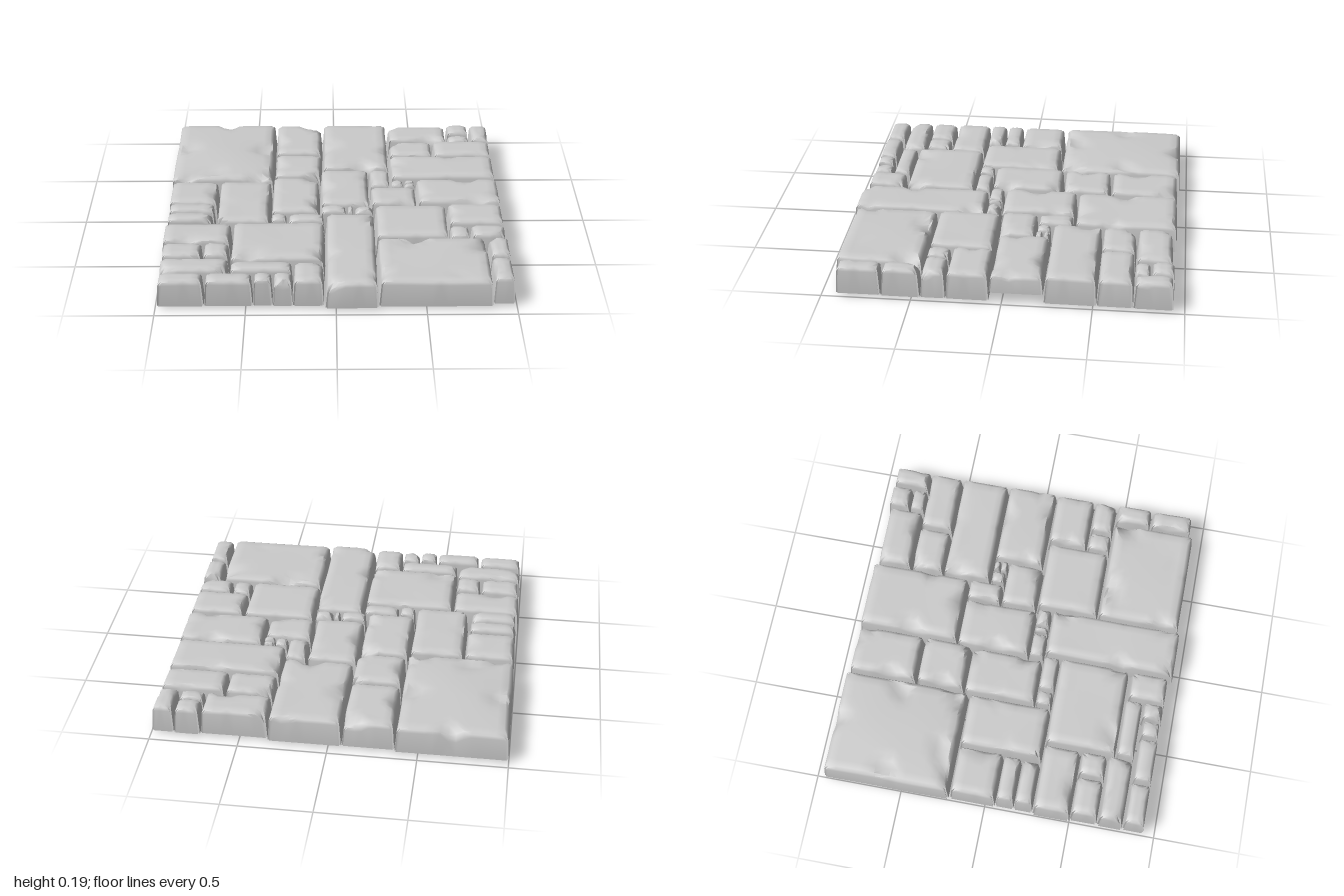
import * as THREE from 'three';
import { toCreasedNormals } from 'three/addons/utils/BufferGeometryUtils.js';

const material = new THREE.MeshStandardMaterial({ color: 0xcccccc, side: THREE.DoubleSide });
const TOP = 0.174, BASE = 0.016;

// smooth wobble in -1..1 used for worn surfaces
const wobble = (x, z, s) =>
  (Math.sin(x * 9.1 + s * 2.3 + 1.7 * Math.sin(z * 7.3 + s)) + Math.sin(z * 11.7 - s * 1.9 + 1.3 * Math.sin(x * 8.7))) / 2;

// grid lines across one side of a stone: foot, wall, bevel, flat top, and back down
function lines(a, b) {
  const r = Math.min(0.024, (b - a) * 0.16);
  const taper = Math.min(0.009, (b - a) * 0.06);
  const edge = [0.001, taper, taper + r * 0.3, taper + r];
  const inner = Math.max(2, Math.round((b - a) / 0.05));
  const from = a + edge[3], to = b - edge[3];
  const mid = [];
  for (let i = 1; i < inner; i++) mid.push(from + (to - from) * i / inner);
  return [...edge.map(e => a + e), ...mid, ...edge.map(e => b - e).reverse()];
}

// one hollow stone, open underneath: a sheet whose outer rings fold down into walls
function stone(x0, x1, z0, z1, seed, { top = TOP, base = BASE, crown = 0 } = {}) {
  const xs = lines(x0, x1), zs = lines(z0, z1), nx = xs.length, nz = zs.length;
  const size = Math.min(x1 - x0, z1 - z0);
  const pos = [], index = [];
  const level = top + 0.003 * Math.sin(seed * 4.7);
  for (let j = 0; j < nz; j++) for (let i = 0; i < nx; i++) {
    const ring = Math.min(i, j, nx - 1 - i, nz - 1 - j);
    let x = xs[i], z = zs[j];
    const u = (x - x0) / (x1 - x0), v = (z - z0) / (z1 - z0);
    const n = wobble(x, z, seed);
    let y = level + 0.002 * n + crown * Math.sin(Math.PI * u) * Math.sin(Math.PI * v);
    // chipped places along the rim
    const rim = Math.min(x - x0, x1 - x, z - z0, z1 - z);
    const chip = Math.max(0, wobble(x * 1.6, z * 1.6, seed * 3.1) - 0.45) * Math.max(0, 1 - rim / (size * 0.25));
    y -= Math.min(0.045, chip * 0.09);
    if (ring === 0) y = base;
    else if (ring === 1) y -= 0.026;
    else if (ring === 2) y -= 0.009;
    // worn outline and rounded upright corners
    if (ring < 4) {
      const wear = (ring ? 0.005 : 0.002) * (0.5 + 0.5 * n);
      const round = Math.min(0.012, size * 0.08);
      const corner = Math.min(i, nx - 1 - i) === ring && Math.min(j, nz - 1 - j) === ring ? round : 0;
      x += (u < 0.5 ? 1 : -1) * (wear * Math.abs(2 * u - 1) + corner);
      z += (v < 0.5 ? 1 : -1) * (wear * Math.abs(2 * v - 1) + corner);
    }
    pos.push(x, y, z);
  }
  for (let j = 0; j < nz - 1; j++) for (let i = 0; i < nx - 1; i++) {
    const a = j * nx + i, b = a + 1, c = a + nx, d = c + 1;
    // diagonals run out to the four corners
    if ((i < nx / 2) === (j < nz / 2)) index.push(a, c, d, a, d, b);
    else index.push(a, c, b, b, c, d);
  }
  const g = new THREE.BufferGeometry();
  g.setAttribute('position', new THREE.Float32BufferAttribute(pos, 3));
  g.setIndex(index);
  return new THREE.Mesh(toCreasedNormals(g, 0.75), material);
}

// stones as [x0, x1, z0, z1, options]
const backLeft = [
  [-1, -0.37, -0.96, -0.215, { crown: 0.015 }],
  [-0.37, -0.075, -0.945, -0.54],
  [-0.37, -0.075, -0.54, -0.25],
  [-0.075, 0.34, -0.95, -0.35],
];
const backRight = [
  [0.34, 0.72, -0.93, -0.72],
  [0.72, 0.87, -0.945, -0.81],
  [0.72, 0.87, -0.81, -0.72, { top: 0.16 }],
  [0.87, 0.995, -0.94, -0.72],
  [0.34, 0.62, -0.72, -0.52],
  [0.62, 0.99, -0.72, -0.52],
  [0.34, 0.99, -0.52, -0.23],
];
const middle = [
  [-0.09, 0.21, -0.35, 0.09],
  [0.21, 0.34, -0.35, -0.14],
  [0.34, 0.42, -0.225, -0.14, { top: 0.165 }],
  [0.42, 0.49, -0.225, -0.18, { top: 0.16 }],
  [0.42, 0.49, -0.18, -0.14, { top: 0.165 }],
  [0.21, 0.49, -0.14, 0.08],
  [0.49, 0.995, -0.23, 0.07, { base: 0.07 }],
  [-0.38, -0.09, -0.25, 0.18],
  [-0.70, -0.38, -0.21, 0.28],
  [-0.995, -0.70, -0.21, 0.06],
  [-0.99, -0.71, 0.06, 0.17],
  [-0.99, -0.71, 0.17, 0.28],
  [-0.38, -0.28, 0.18, 0.28],
  [-0.28, -0.06, 0.18, 0.28],
  [-0.09, 0.07, 0.09, 0.18],
  [0.07, 0.11, 0.09, 0.18, { top: 0.165 }],
  [0.11, 0.23, 0.09, 0.18],
];
const frontLeft = [
  [-1, -0.6, 0.28, 0.5],
  [-0.99, -0.755, 0.5, 0.66],
  [-0.755, -0.6, 0.5, 0.66, { base: 0 }],
  [-0.995, -0.6, 0.66, 0.81],
  [-0.99, -0.73, 0.81, 0.935],
  [-0.73, -0.46, 0.82, 0.935],
  [-0.46, -0.35, 0.82, 0.93],
  [-0.35, -0.24, 0.81, 0.935],
  [-0.6, -0.24, 0.70, 0.81],
  [-0.24, -0.065, 0.71, 0.935],
  [-0.6, -0.06, 0.28, 0.70],
];
const frontRight = [
  [-0.06, 0.235, 0.18, 0.96],
  [0.23, 0.66, 0.08, 0.45],
  [0.66, 0.99, 0.07, 0.31],
  [0.66, 0.78, 0.31, 0.45, { top: 0.165 }],
  [0.78, 0.99, 0.31, 0.45],
  [0.235, 0.87, 0.45, 0.945],
  [0.87, 0.995, 0.45, 0.67],
  [0.87, 0.99, 0.67, 0.92],
];

export function createModel() {
  const model = new THREE.Group();
  model.name = 'stonePaving';
  let seed = 1;
  for (const [name, list] of Object.entries({ backLeft, backRight, middle, frontLeft, frontRight })) {
    const section = new THREE.Group();
    section.name = name + 'Stones';
    list.forEach(([x0, x1, z0, z1, options], i) => {
      const mesh = stone(x0, x1, z0, z1, seed++, options);
      mesh.name = name + 'Stone' + (i + 1);
      section.add(mesh);
    });
    model.add(section);
  }
  return model;
}
